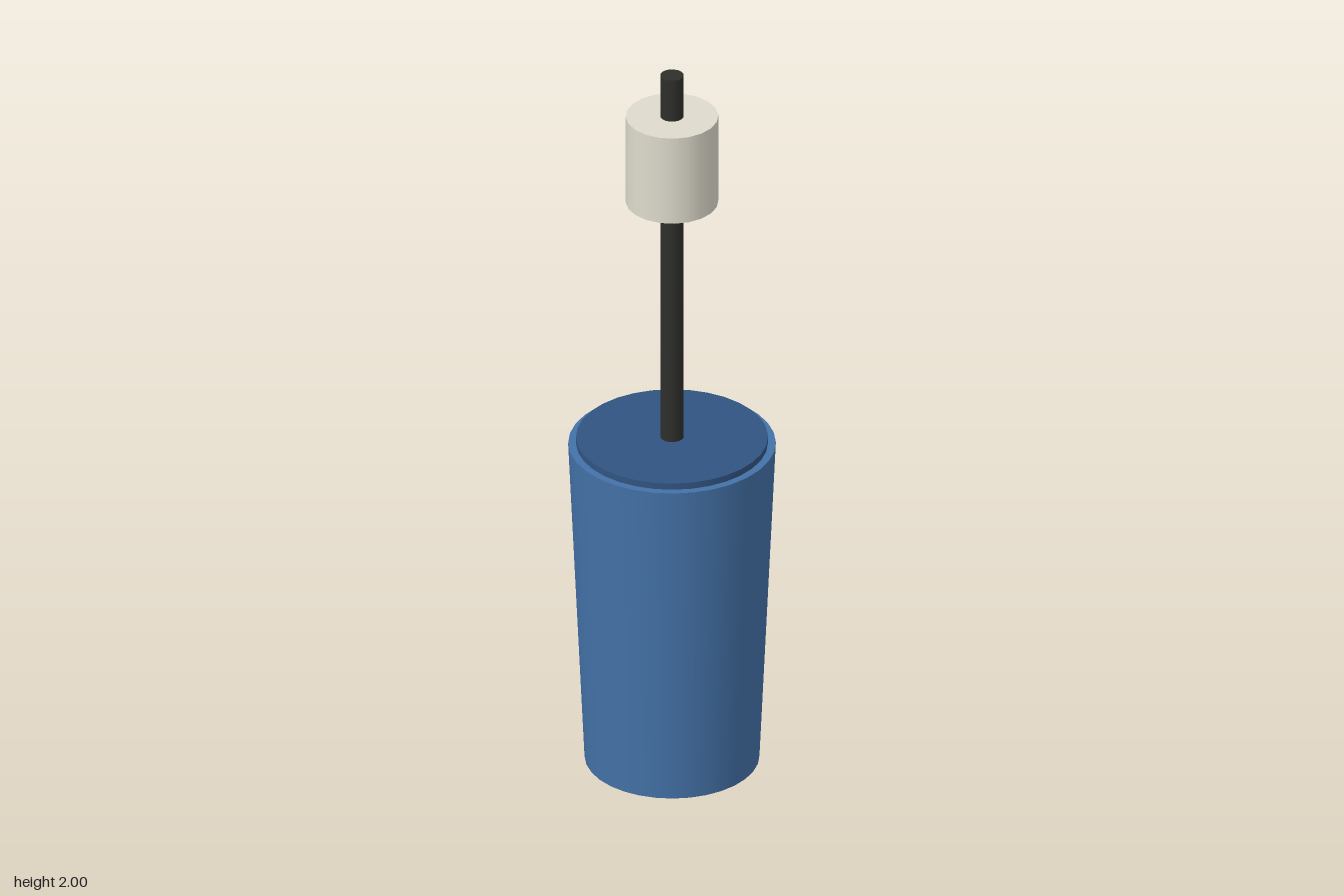
import * as THREE from 'three';

export function createModel() {
  const group = new THREE.Group();

  // Capped round part standing between two heights
  const addRound = (name, bottomRadius, topRadius, y0, y1, sides, color) => {
    const geometry = new THREE.CylinderGeometry(topRadius, bottomRadius, y1 - y0, sides);
    geometry.translate(0, (y0 + y1) / 2, 0);
    const mesh = new THREE.Mesh(geometry, new THREE.MeshStandardMaterial({ color }));
    mesh.name = name;
    group.add(mesh);
  };

  // Tapered container with a slightly raised lid
  addRound('cup', 0.224, 0.266, 0, 0.92, 32, 0x4472a8);
  addRound('lid', 0.246, 0.246, 0.90, 0.938, 32, 0x315480);

  // Upright rod passing through the grip
  addRound('rod', 0.03, 0.03, 0.92, 2, 16, 0x2e2e2b);
  addRound('grip', 0.119, 0.119, 1.63, 1.88, 20, 0xdedacc);

  return group;
}
